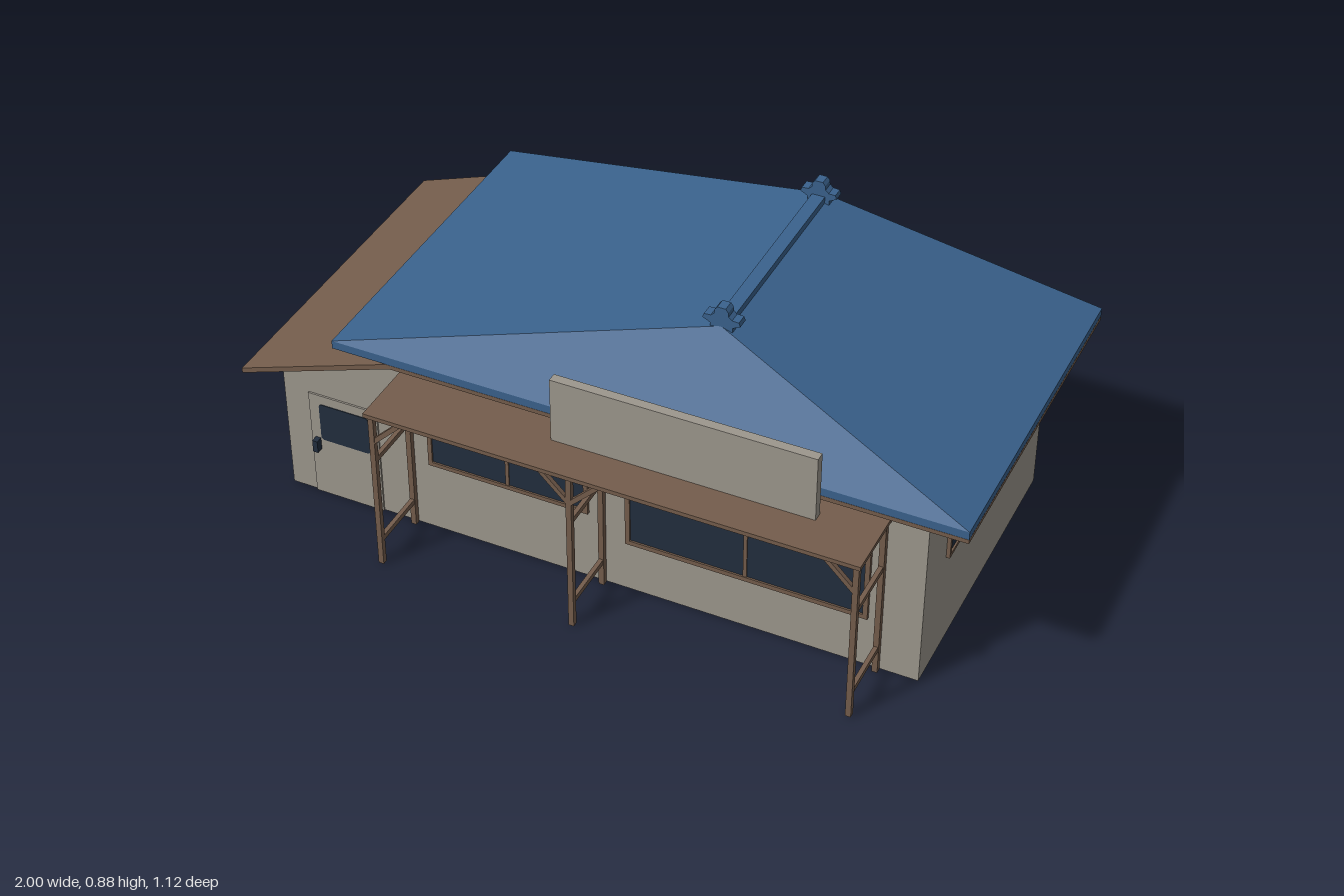
import * as THREE from 'three';

const mat = (name, color, side = THREE.FrontSide) => {
  const m = new THREE.MeshStandardMaterial({ color, side });
  m.name = name;
  return m;
};

export function createModel() {
  const root = new THREE.Group();
  const plaster = mat('plaster', 0x9c978d, THREE.DoubleSide);
  const blue = mat('roofBlue', 0x3a628d);
  const wood = mat('wood', 0x745d4c);
  const dark = mat('darkGlass', 0x222e3e);

  const add = (name, geo, material, parent = root) => {
    const m = new THREE.Mesh(geo, material);
    m.name = name;
    parent.add(m);
    return m;
  };
  // Box given by its minimum and maximum along each axis
  const box = (name, material, [x0, x1], [y0, y1], [z0, z1], parent = root) => {
    const m = add(name, new THREE.BoxGeometry(x1 - x0, y1 - y0, z1 - z0), material, parent);
    m.position.set((x0 + x1) / 2, (y0 + y1) / 2, (z0 + z1) / 2);
    return m;
  };
  const shapeOf = (pts) => new THREE.Shape(pts.map(([x, y]) => new THREE.Vector2(x, y)));
  const rectPath = (x0, x1, y0, y1) =>
    new THREE.Path([[x0, y0], [x1, y0], [x1, y1], [x0, y1]].map(([x, y]) => new THREE.Vector2(x, y)));
  const extrude = (shape, depth) => new THREE.ExtrudeGeometry(shape, { depth, bevelEnabled: false });

  // Window: frame with optional mullion, centred in x, front along +z
  const windowUnit = (name, w, h, bar, mullion, depth) => {
    const g = new THREE.Group();
    g.name = name;
    const s = shapeOf([[-w / 2, 0], [w / 2, 0], [w / 2, h], [-w / 2, h]]);
    s.holes.push(rectPath(-w / 2 + bar, w / 2 - bar, bar, h - bar));
    add('windowFrame', extrude(s, depth), wood, g);
    box('windowGlass', dark, [-w / 2 + bar, w / 2 - bar], [bar, h - bar], [0.001, 0.005], g);
    if (mullion) box('windowMullion', wood, [-0.005, 0.005], [bar, h - bar], [0.002, depth - 0.002], g);
    root.add(g);
    return g;
  };

  // Walls: front and back follow the lean-to slope
  const L = -0.91, R = 0.885, F = 0.355, B = -0.5, top = 0.536, low = 0.407;
  const outline = [[L, 0], [R, 0], [R, top], [-0.55, top], [L, low]];
  const frontShape = shapeOf(outline);
  frontShape.holes.push(rectPath(-0.47, -0.03, 0.225, 0.455), rectPath(0.1, 0.73, 0.17, 0.46));
  add('frontWall', new THREE.ShapeGeometry(frontShape), plaster).position.z = F;
  add('backWall', new THREE.ShapeGeometry(shapeOf(outline)), plaster).position.z = B;
  for (const [name, x, h] of [['leftWall', R, top], ['rightWall', L, low]]) {
    const wall = add(name, new THREE.PlaneGeometry(F - B, h), plaster);
    wall.rotation.y = x > 0 ? Math.PI / 2 : -Math.PI / 2;
    wall.position.set(x, h / 2, (F + B) / 2);
  }

  // Front and side windows
  windowUnit('smallShopWindow', 0.46, 0.25, 0.012, true, 0.01).position.set(-0.25, 0.215, F);
  windowUnit('largeShopWindow', 0.66, 0.315, 0.013, true, 0.01).position.set(0.415, 0.157, F);
  for (const z of [0.139, -0.286]) {
    const w = windowUnit('sideWindow', 0.148, 0.167, 0.01, false, 0.01);
    w.rotation.y = Math.PI / 2;
    w.position.set(R, 0.293, z);
  }

  // Door with rounded pane and handle
  box('door', plaster, [-0.835, -0.63], [0, 0.33], [F - 0.004, F + 0.005]);
  const pane = new THREE.Shape();
  const px = -0.805, py = 0.185, pw = 0.148, ph = 0.117, r = 0.01;
  pane.moveTo(px + r, py);
  for (const [cx, cy, a] of [[px + pw - r, py + r, -0.5], [px + pw - r, py + ph - r, 0],
    [px + r, py + ph - r, 0.5], [px + r, py + r, 1]])
    pane.absarc(cx, cy, r, a * Math.PI, (a + 0.5) * Math.PI, false);
  add('doorPane', extrude(pane, 0.002), dark).position.z = F + 0.005;
  box('doorHandle', dark, [-0.823, -0.808], [0.15, 0.187], [F + 0.005, 0.38]);

  // Ceiling slab that bends down into the lean-to roof
  const slab = shapeOf([[-1, 0.375], [-0.55, 0.535], [1, 0.535], [1, 0.547], [-0.56, 0.547], [-1, 0.39]]);
  add('eaveAndLeanToRoof', extrude(slab, 0.969).translate(0, 0, -0.5595), wood);

  // Hipped roof with a ridge running front to back
  const corners = [[-0.715, 0.41], [1, 0.41], [1, -0.56], [-0.715, -0.56]];
  const lo = corners.map(([x, z]) => [x, 0.548, z]);
  const hi = corners.map(([x, z]) => [x, 0.571, z]);
  const rf = [0.285, 0.825, 0.24], rb = [0.285, 0.825, -0.39];
  const faces = [[hi[0], hi[1], rf], [hi[1], hi[2], rb, rf], [hi[2], hi[3], rb], [hi[3], hi[0], rf, rb],
    [lo[3], lo[2], lo[1], lo[0]]];
  for (let i = 0; i < 4; i++) {
    const j = (i + 1) % 4;
    faces.push([lo[i], lo[j], hi[j], hi[i]]);
  }
  const pos = [];
  for (const f of faces)
    for (let i = 1; i < f.length - 1; i++) pos.push(...f[0], ...f[i], ...f[i + 1]);
  const roof = new THREE.BufferGeometry();
  roof.setAttribute('position', new THREE.Float32BufferAttribute(pos, 3));
  roof.computeVertexNormals();
  add('hippedRoof', roof, blue);

  // Ridge cap and end ornaments
  box('ridgeCap', blue, [0.268, 0.304], [0.81, 0.837], [-0.365, 0.215]);
  const half = [[0.03, 0.815], [0.03, 0.828], [0.05, 0.838], [0.046, 0.849], [0.028, 0.85],
    [0.019, 0.858], [0.018, 0.87], [0.011, 0.879]];
  const ornament = shapeOf([...half, ...half.slice().reverse().map(([x, y]) => [-x, y])]);
  for (const z of [0.21, -0.388])
    add('ridgeOrnament', extrude(ornament, 0.031), blue).position.set(0.286, 0, z);

  // Porch: canopy, ladder-like post pairs and corner braces
  box('porchCanopy', wood, [-0.545, 0.79], [0.488, 0.5], [F, 0.557]);
  const p = 0.0075, zFront = 0.537, zBack = 0.365;
  const brace = (x, dir) => {
    const b = add('porchBrace', new THREE.BoxGeometry(0.125, 0.013, 0.012), wood);
    b.position.set(x + dir * 0.045, 0.446, zFront);
    b.rotation.z = dir * Math.PI / 4;
  };
  for (const [x, dirs] of [[-0.532, [1]], [0.02, [-1, 1]], [0.775, [-1]]]) {
    for (const z of [zFront, zBack])
      box('porchPost', wood, [x - p, x + p], [0, 0.49], [z - p, z + p]);
    for (const y of [0.078, 0.342])
      box('porchRail', wood, [x - 0.006, x + 0.006], [y - p, y + p], [zBack, zFront]);
    dirs.forEach((d) => brace(x, d));
  }

  // Blank signboard on the canopy
  box('signboard', plaster, [-0.075, 0.63], [0.5, 0.686], [0.421, 0.447]);
  return root;
}
